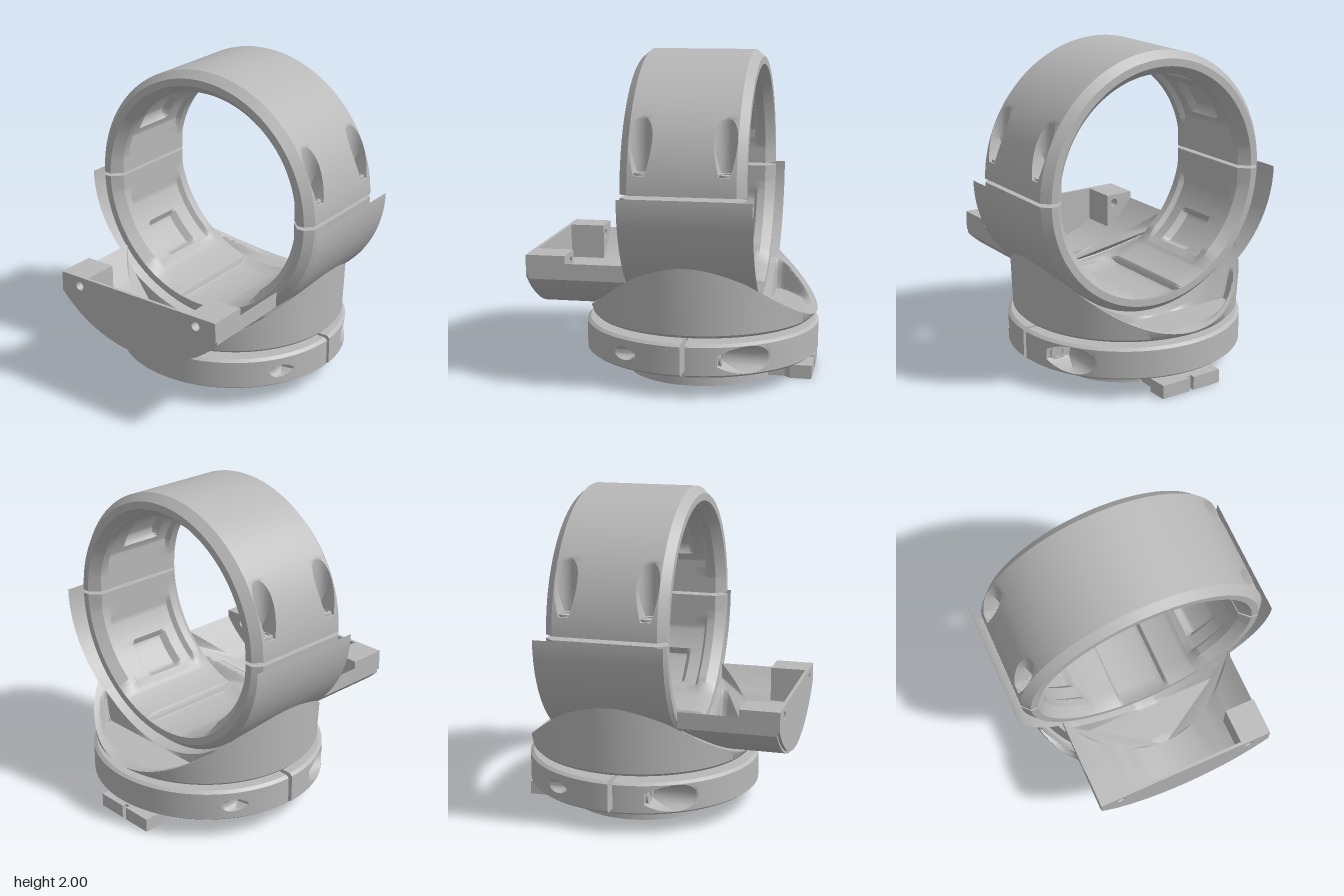
import * as THREE from 'three';
import { toCreasedNormals } from 'three/addons/utils/BufferGeometryUtils.js';

const CX = 0.125;      // axis of the round base
const RY = 1.2;        // height of the ring axis
const H = Math.PI / 2;
const ramp = (v, a, b) => THREE.MathUtils.clamp((v - a) / (b - a), 0, 1);
const range = (a, b, n) => Array.from({ length: n + 1 }, (_, i) => a + (b - a) * i / n);
const vectors = list => list.map(p => new THREE.Vector2(...p));

// Sweep a closed profile of [along axis, radius] about the x axis, with end caps
function sweep(profile, from, to, steps, rule) {
  const n = profile.length, pos = [], index = [];
  for (const t of range(from, to, steps)) for (const [a, r] of profile) pos.push(...rule(a, r, t));
  for (let j = 0; j < steps; j++) for (let i = 0; i < n; i++) {
    const k = (i + 1) % n, p = j * n, q = p + n;
    index.push(p + i, q + i, p + k, q + i, q + k, p + k);
  }
  for (const [a, b, c] of THREE.ShapeUtils.triangulateShape(vectors(profile), [])) {
    index.push(a, b, c);
    index.push(steps * n + a, steps * n + c, steps * n + b);
  }
  const g = new THREE.BufferGeometry();
  g.setAttribute('position', new THREE.Float32BufferAttribute(pos, 3));
  g.setIndex(index);
  return toCreasedNormals(g, 0.6);
}

// Profile columns over a counterbore; the outermost pairs form its sharp edge
const columns = (a0, half) => [-half - 0.002, -half, ...range(-0.99 * half, 0.99 * half, 10), half, half + 0.002]
  .map(d => a0 + d);

// Fit those columns to the bore's width at this row and push them back to its wall
function bore(a, r, t, bores, half) {
  const u = r * Math.cos(t);
  let v = r * Math.sin(t);
  for (const b of bores) {
    const s = (a - b.a0) / half;
    if (Math.abs(s) > 1.0001 || v * b.v0 < 0) continue;
    const h = Math.abs(v) - Math.abs(b.v0);
    const w = Math.sqrt(Math.max(b.r * b.r - h * h, 1e-4));
    a = b.a0 + s * w;
    if (u > b.floor && Math.abs(s) < 0.995 && Math.abs(h) < b.r)
      v = Math.sign(v) * (Math.abs(b.v0) - Math.sqrt(Math.max(0, b.r * b.r - s * s * w * w)));
    break;
  }
  return [a, u, v];
}

// Outline from the arc below the ring up to an inner arc or a flat top
function arcShape(z0, z1, outer, inner, top) {
  const y = (z, r) => RY - Math.sqrt(r * r - z * z);
  return new THREE.Shape(vectors([
    ...range(z0, z1, 32).map(z => [z, y(z, outer)]),
    ...(inner ? range(z1, z0, 32).map(z => [z, y(z, inner)]) : [[z1, top], [z0, top]]),
  ]));
}

const circleHole = (x, y, r) => new THREE.Path().absarc(x, y, r, 0, Math.PI * 2, true);
const extrude = (shape, depth) =>
  new THREE.ExtrudeGeometry(shape, { depth, bevelEnabled: false, curveSegments: 32 });

export function createModel() {
  const model = new THREE.Group();
  const grey = new THREE.MeshStandardMaterial({ color: 0xb8b8b8, side: THREE.DoubleSide });
  grey.name = 'machined grey';
  const add = (name, geometry, x = 0, y = 0, z = 0) => {
    const mesh = new THREE.Mesh(geometry, grey);
    mesh.name = name;
    mesh.position.set(x, y, z);
    model.add(mesh);
    return mesh;
  };

  // Clamp ring: two halves with inner lips, groove, pockets and bolt counterbores
  const boltX = [-0.12, 0.37], boltR = 0.068;
  const ringProfile = outer => [
    [-0.24, 0.755], ...outer.map(a => [a, 0.8]), [0.49, 0.755],
    [0.49, 0.71], [0.43, 0.66], [0.38, 0.66], [0.36, 0.69],
    ...[0.25, 0.22, 0.1, 0, -0.03, -0.11].map(a => [a, 0.69]),
    [-0.13, 0.66], [-0.18, 0.66], [-0.24, 0.71],
  ];
  const bolts = boltX.flatMap(a0 => [-0.73, 0.73].map(v0 => ({ a0, v0, r: boltR, floor: 0.13 })));
  const pocketAngles = [0, 28, 56, 133].map(d => d * Math.PI / 180);
  const ringRule = (a, r, t) => {
    if (r > 0.79) return bore(a, r, t, bolts, boltR);
    const inner = r < 0.73 && a > -0.24 && a < 0.49;
    if (inner) {
      const fromTop = Math.abs(Math.atan2(Math.sin(t), Math.cos(t)));
      // the lip thins towards the bottom and opens there
      r = Math.max(r, 0.66 + 0.035 * ramp(fromTop, 2.45, 2.62) + 0.043 * ramp(fromTop, 2.9, 2.93));
      for (const p of pocketAngles)
        r += 0.04 * Math.min(ramp(a, -0.03, 0), ramp(-a, -0.25, -0.22),
          ramp(-Math.abs(fromTop - p), -0.19, -0.15));
    }
    const v = r * Math.sin(t);
    return [a, r * Math.cos(t), inner ? THREE.MathUtils.clamp(v, -0.65, 0.65) : v];
  };
  const e = 0.014;
  add('upperRingHalf', sweep(ringProfile(boltX.flatMap(x => columns(x, boltR))), -H + e, H - e, 200, ringRule), 0, RY);
  add('lowerRingHalf', sweep(ringProfile([-0.19, 0.44]), H + e, 3 * H - e, 160, ringRule), 0, RY);

  // Bolt seats in the counterbores
  const seat = new THREE.LatheGeometry(
    vectors([[0.032, -0.02], [0.032, 0.008], [0.052, 0.008], [0.052, -0.02]]), 24);
  for (const b of bolts) add('boltSeat', toCreasedNormals(seat, 0.6), b.a0, 1.33, b.v0);

  // Thin curved skirts outside the lower ring half
  for (const s of [-1, 1]) {
    const g = new THREE.PlaneGeometry(0.78, 1, 1, 32);
    const p = g.attributes.position;
    for (let i = 0; i < p.count; i++) {
      const dy = 0.6 * (0.5 - p.getY(i));
      p.setXYZ(i, s * p.getX(i) + 0.15, 1.195 - dy, s * 0.853 * Math.sqrt(1 - (dy / 0.76) ** 2));
    }
    g.computeVertexNormals();
    add('skirt', g);
  }

  // Saddle body: round wall and a top that follows the ring, with sunken side pockets
  const BR = 0.714;
  const saddle = (x, z) => {
    const d = Math.hypot(x, z);
    const y = RY - Math.sqrt((0.801 + 0.014 * ramp(d, 0.6, 0.7)) ** 2 - z * z);
    const sunk = Math.min(ramp(Math.abs(x), 0.395, 0.405), ramp(-d, -0.68, -0.645),
      ramp(-Math.abs(z), -0.52, -0.475));
    return y + (Math.min(y, 0.395) - y) * sunk;
  };
  const wall = new THREE.LatheGeometry(vectors([[0, 0.36], [0.685, 0.36], [0.703, 0.378], [BR, 1]]), 160);
  const wp = wall.attributes.position;
  for (let i = 0; i < wp.count; i++)
    if (wp.getY(i) === 1) wp.setY(i, saddle(wp.getX(i), wp.getZ(i)));
  add('bodyWall', toCreasedNormals(wall, 0.6), CX + 0.005);

  const side = range(Math.asin(0.405 / BR), 1.55, 28).map(t => BR * Math.sin(t));
  const xs = [...side.map(x => -x).reverse(), ...range(-0.395, 0.395, 8), ...side];
  const top = new THREE.PlaneGeometry(1, 2, xs.length - 1, 100);
  const tp = top.attributes.position;
  for (let i = 0; i < tp.count; i++) {
    const x = xs[i % xs.length];
    const z = -tp.getY(i) * Math.sqrt(BR * BR - x * x);
    tp.setXYZ(i, x, saddle(x, z), z);
  }
  add('bodySaddle', toCreasedNormals(top, 0.6), CX + 0.005);

  // Neck tapering into the collar
  add('neck', toCreasedNormals(new THREE.LatheGeometry(
    vectors([[0, 0.14], [0.52, 0.14], [0.52, 0.335], [0.63, 0.365]]), 96), 0.5), CX);

  // Split collar: the same half twice, each with a screw pocket and an exit hole
  const screwR = 0.083;
  const collarProfile = [
    [-0.1, 0.5], [-0.1, 0.71], ...columns(0, screwR).map(a => [a, 0.73]), [0.1, 0.71], [0.1, 0.5],
  ];
  const screws = [{ a0: 0, v0: 0.625, r: screwR, floor: 0.21 }, { a0: 0, v0: -0.625, r: 0.04, floor: 0.2 }];
  const collarRule = (a, r, t) =>
    r > 0.72 ? bore(a, r, t, screws, screwR) : [a, r * Math.cos(t), r * Math.sin(t)];
  const half = sweep(collarProfile, -H + 0.02, H - 0.02, 180, collarRule).rotateZ(-H);
  const screwSeat = toCreasedNormals(seat, 0.6).rotateZ(-H);
  for (const s of [1, -1]) {
    const turn = s > 0 ? 0 : Math.PI;
    add('collarHalf', half, CX - 0.005, 0.23).rotation.y = turn;
    add('screwSeat', screwSeat, CX - 0.005 + s * 0.21, 0.23, s * 0.625).rotation.y = turn;
  }

  // Hub with centre bore and a circle of bolt holes, opening downwards
  const disc = new THREE.Shape().absarc(0, 0, 0.47, 0, Math.PI * 2);
  disc.holes.push(circleHole(0, 0, 0.17));
  for (let i = 0; i < 12; i++) {
    const t = (i + 0.5) * Math.PI / 6;
    disc.holes.push(circleHole(0.29 * Math.cos(t), 0.29 * Math.sin(t), 0.03));
  }
  const flat = (shape, depth) => toCreasedNormals(extrude(shape, depth).rotateX(-H), 0.6);
  add('hub', flat(disc, 0.1), CX - 0.005);
  add('hubStep', new THREE.CylinderGeometry(0.465, 0.455, 0.06, 72), CX, 0.13);
  add('hubRim', new THREE.TorusGeometry(0.385, 0.008, 6, 72).rotateX(H), CX - 0.005, 0.008);

  // Locating tab beside the hub
  const edge = [[0.53, 0.17], [0.66, 0.17], [0.7, 0.21], [0.83, 0.21], [0.83, 0.016], [0.8, 0.016]];
  const tab = new THREE.Shape(vectors([...edge, ...edge.map(([x, z]) => [x, -z]).reverse()]));
  add('tab', flat(tab, 0.085));

  // Side tray: curved floor ending at the body, end wall and two drilled corner blocks
  const along = (shape, depth) => extrude(shape, depth).rotateY(H);
  const floor = along(arcShape(-0.58, 0.58, 0.8, 0.735), 0.6).translate(-0.845, 0, 0);
  const fp = floor.attributes.position;
  for (let i = 0; i < fp.count; i++)
    if (fp.getX(i) > -0.5) fp.setX(i, CX - Math.sqrt(0.69 ** 2 - fp.getZ(i) ** 2));
  add('trayFloor', toCreasedNormals(floor, 0.6));
  const endWall = arcShape(-0.58, 0.58, 0.785, 0, 0.795);
  for (const s of [-1, 1]) {
    const hole = circleHole(s * 0.44, 0.735, 0.028);
    endWall.holes.push(hole);
    const block = arcShape(s < 0 ? -0.58 : 0.385, s < 0 ? -0.385 : 0.58, 0.8, 0, 0.795);
    block.holes.push(hole);
    add('trayCorner', toCreasedNormals(along(block, 0.225), 0.6), -0.845);
  }
  add('trayEndWall', toCreasedNormals(along(endWall, 0.02), 0.6), -0.862);

  return model;
}
